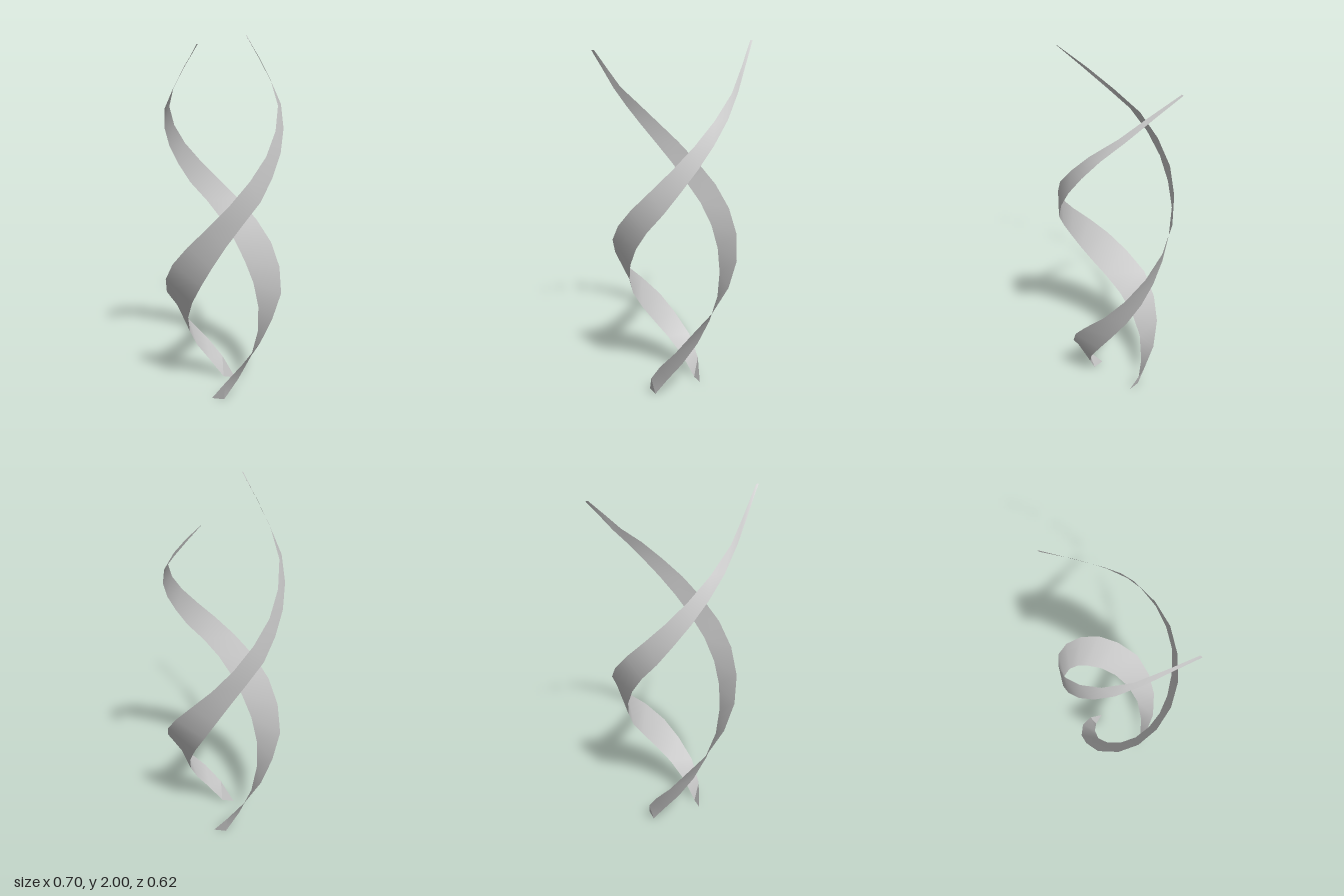
import * as THREE from 'three';
import { toCreasedNormals } from 'three/addons/utils/BufferGeometryUtils.js';

// Level cross-sections of one ribbon, bottom to top, evenly spaced in height:
// [leading edge x, z, trailing edge x, z]
const SECTIONS = [
  [0.13, -0.08, 0.08, -0.13],
  [0.093, -0.163, 0, -0.155],
  [0.02, -0.225, -0.09, -0.15],
  [-0.08, -0.252, -0.165, -0.105],
  [-0.17, -0.238, -0.215, -0.035],
  [-0.267, -0.185, -0.237, 0.05],
  [-0.331, -0.077, -0.227, 0.13],
  [-0.348, 0.034, -0.196, 0.196],
  [-0.318, 0.143, -0.143, 0.248],
  [-0.248, 0.236, -0.065, 0.287],
  [-0.151, 0.294, 0.034, 0.309],
  [-0.037, 0.311, 0.119, 0.292],
  [0.075, 0.295, 0.199, 0.251],
  [0.175, 0.235, 0.265, 0.183],
  [0.255, 0.142, 0.312, 0.09],
  [0.307, 0.0, 0.331, -0.04],
  [0.323, -0.14, 0.337, -0.168],
  [0.332, -0.291, 0.343, -0.299],
];
const HEIGHT = 2;

// Thin strip lofted through the cross-sections
function ribbonGeometry() {
  const positions = [];
  const indices = [];
  SECTIONS.forEach(([ax, az, bx, bz], i) => {
    const y = (HEIGHT * i) / (SECTIONS.length - 1);
    positions.push(ax, y, az, bx, y, bz);
    if (i > 0) {
      const k = 2 * i;
      indices.push(k - 2, k - 1, k, k - 1, k + 1, k);
    }
  });
  const geometry = new THREE.BufferGeometry();
  geometry.setAttribute('position', new THREE.Float32BufferAttribute(positions, 3));
  geometry.setIndex(indices);
  return toCreasedNormals(geometry, THREE.MathUtils.degToRad(40));
}

export function createModel() {
  const model = new THREE.Group();
  model.name = 'doubleHelix';
  const material = new THREE.MeshStandardMaterial({ color: 0xcccccc, side: THREE.DoubleSide });
  const geometry = ribbonGeometry();

  // Two identical ribbons, half a turn apart
  ['firstRibbon', 'secondRibbon'].forEach((name, i) => {
    const ribbon = new THREE.Mesh(geometry, material);
    ribbon.name = name;
    ribbon.rotation.y = i * Math.PI;
    model.add(ribbon);
  });
  return model;
}
